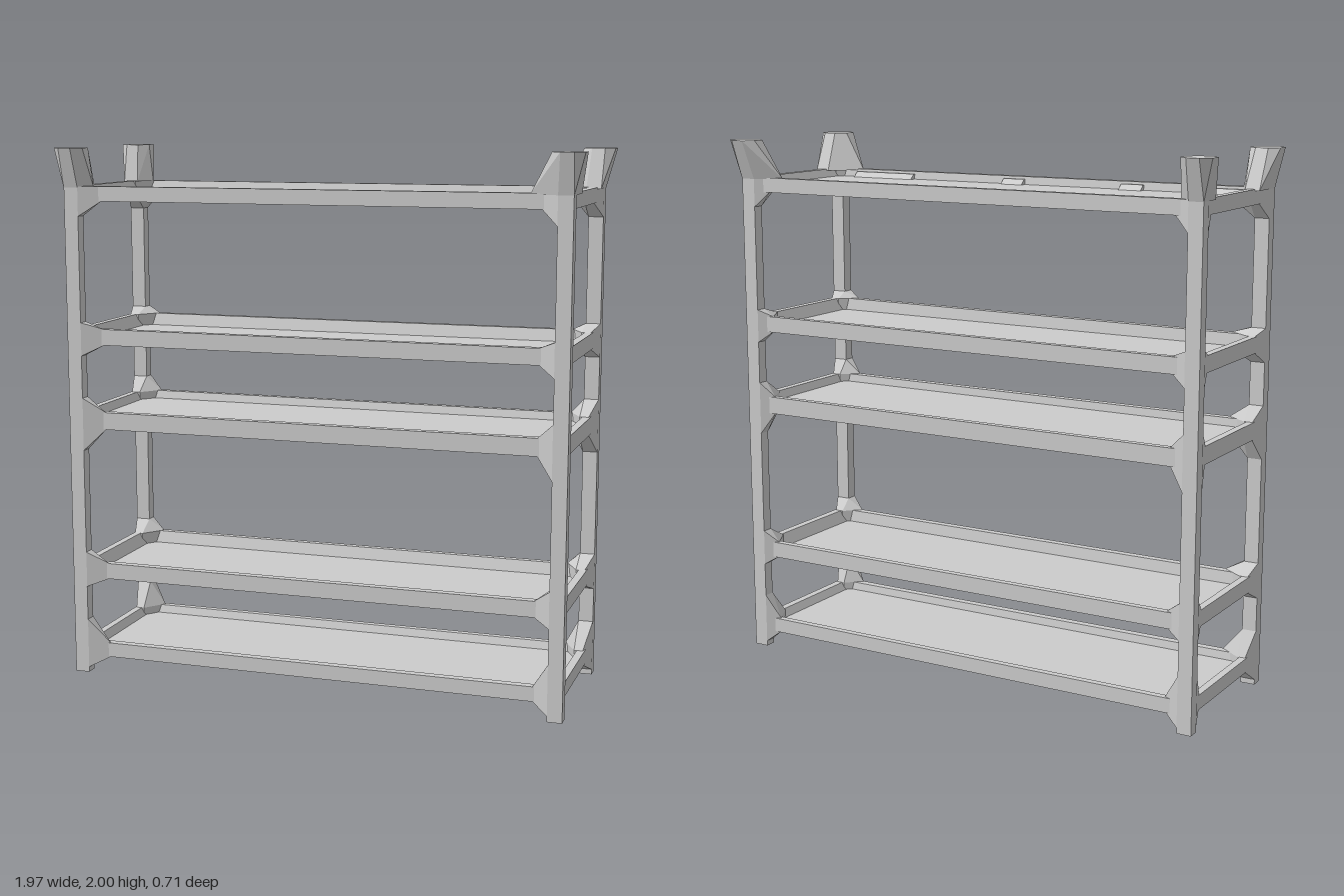
import * as THREE from 'three';
import { ConvexGeometry } from 'three/addons/geometries/ConvexGeometry.js';

const material = new THREE.MeshStandardMaterial({ color: 0xcccccc, flatShading: true });

// Rail bottom, rail top and panel surface heights of each shelf,
// plus the heights its corner braces reach on the posts
const shelves = [
  { bottom: 0.06, top: 0.115, panel: 0.085, braceLow: 0.02, braceHigh: 0.21 },
  { bottom: 0.37, top: 0.43, panel: 0.385, braceLow: 0.34, braceHigh: 0.475 },
  { bottom: 0.95, top: 1.015, panel: 0.985, braceLow: 0.87, braceHigh: 1.07 },
  { bottom: 1.27, top: 1.33, panel: 1.285, braceLow: 1.23, braceHigh: 1.355 },
  { bottom: 1.805, top: 1.86, panel: 1.83, braceLow: 1.75, braceHigh: 1.86 },
];

// Post ranges, brace reach along each axis, and flared cap base / top centre
const corners = [
  { name: 'leftFront', x: [0.89, 0.945], z: [0.275, 0.32], reach: [0.83, 0.23], capBase: [0.785, 0.175], cap: [0.925, 0.3] },
  { name: 'rightFront', x: [-0.9, -0.955], z: [0.275, 0.32], reach: [-0.82, 0.23], capBase: [-0.855, 0.175], cap: [-0.932, 0.3] },
  { name: 'leftBack', x: [0.89, 0.945], z: [-0.26, -0.303], reach: [0.84, -0.18], capBase: [0.785, -0.2], cap: [0.925, -0.298] },
  { name: 'rightBack', x: [-0.9, -0.955], z: [-0.26, -0.303], reach: [-0.84, -0.19], capBase: [-0.855, -0.205], cap: [-0.932, -0.293] },
];

function add(parent, name, geometry) {
  const mesh = new THREE.Mesh(geometry, material);
  mesh.name = name;
  parent.add(mesh);
  return mesh;
}

function box(parent, name, x0, x1, y0, y1, z0, z1) {
  const geometry = new THREE.BoxGeometry(Math.abs(x1 - x0), y1 - y0, Math.abs(z1 - z0));
  geometry.translate((x0 + x1) / 2, (y0 + y1) / 2, (z0 + z1) / 2);
  return add(parent, name, geometry);
}

function hull(parent, name, points) {
  return add(parent, name, new ConvexGeometry(points.map((p) => new THREE.Vector3(...p))));
}

// Rail with a sloped inner face: outer edge, inner edge at the top and at the bottom
function rail(parent, name, alongX, from, to, outer, innerTop, innerBottom, y0, y1) {
  const points = [];
  for (const t of [from, to]) {
    for (const [d, y] of [[outer, y0], [outer, y1], [innerTop, y1], [innerBottom, y0]]) {
      points.push(alongX ? [t, y, d] : [d, y, t]);
    }
  }
  hull(parent, name, points);
}

function buildShelf(s, index) {
  const shelf = new THREE.Group();
  shelf.name = `shelf${index + 1}`;
  box(shelf, 'panel', -0.92, 0.91, s.bottom + 0.004, s.panel, -0.265, 0.27);
  rail(shelf, 'frontRail', true, -0.93, 0.92, 0.292, 0.26, 0.25, s.bottom, s.top);
  rail(shelf, 'backRail', true, -0.93, 0.92, -0.285, -0.258, -0.238, s.bottom, s.top);
  rail(shelf, 'leftRail', false, -0.28, 0.29, 0.93, 0.9, 0.87, s.bottom, s.top);
  rail(shelf, 'rightRail', false, -0.28, 0.29, -0.938, -0.91, -0.88, s.bottom, s.top);

  // Braces spreading from each post into both rails
  for (const c of corners) {
    const [xi, xo] = c.x;
    const [zi, zo] = c.z;
    const [rx, rz] = c.reach;
    const railX = xi + (xo - xi) * 0.6;
    const railZ = zi + (zo - zi) * 0.3;
    const points = [];
    for (const y of [s.braceLow, s.braceHigh]) {
      points.push([xi, y, zi], [xo, y, zi], [xi, y, zo]);
    }
    for (const y of [s.bottom, s.top]) {
      points.push([rx, y, railZ], [railX, y, rz], [xi, y, rz]);
    }
    hull(shelf, `${c.name}Brace`, points);
  }
  return shelf;
}

export function createModel() {
  const model = new THREE.Group();
  model.name = 'shelfRack';

  shelves.forEach((s, i) => model.add(buildShelf(s, i)));

  // Raised tabs behind the front rail of the top shelf
  for (const [x0, x1] of [[-0.86, -0.72], [-0.47, -0.38], [0.03, 0.12], [0.53, 0.8]]) {
    rail(model, 'frontTab', true, x0, x1, 0.27, 0.25, 0.21, 1.815, 1.85);
  }

  for (const c of corners) {
    const [xi, xo] = c.x;
    const [zi, zo] = c.z;
    box(model, `${c.name}Post`, xi, xo, 0, 1.87, zi, zo);

    // Flared socket on top of the post, ending in an octagonal rim
    const points = [];
    for (let i = 0; i < 8; i++) {
      const a = ((i + 0.5) / 8) * Math.PI * 2;
      points.push([c.cap[0] + Math.cos(a) * 0.062, 2, c.cap[1] + Math.sin(a) * 0.062]);
    }
    const [bx, bz] = c.capBase;
    for (const [x, z] of [[xo, zo], [xi, zo], [xo, zi], [bx, zi], [xi, bz], [xo, bz]]) {
      points.push([x, 1.855, z]);
    }
    hull(model, `${c.name}Socket`, points);
  }
  return model;
}
